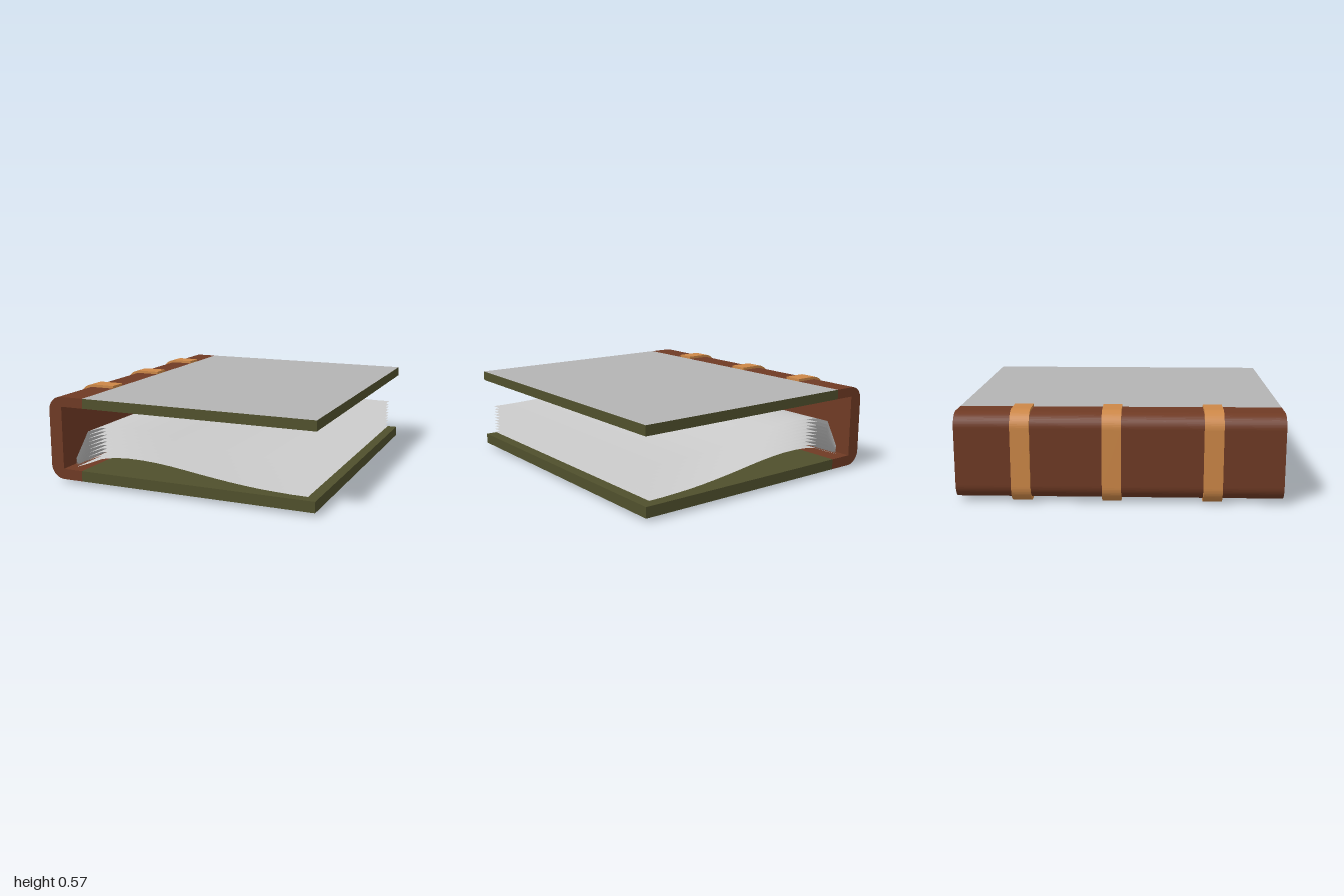
import * as THREE from 'three';

const mat = (name, color, side = THREE.FrontSide) => {
  const m = new THREE.MeshStandardMaterial({ color, side });
  m.name = name;
  return m;
};

// Inner end of the leather: runs slightly askew, mirrored between top and bottom
const END = -0.64;
const edgeX = (y, z) => -0.644 + (y > 0.29 ? 0.011 : -0.011) * z;
function skew(geo, isEnd) {
  const p = geo.attributes.position;
  for (let i = 0; i < p.count; i++) {
    if (isEnd(p.getX(i))) p.setX(i, edgeX(p.getY(i), p.getZ(i)));
  }
  geo.computeVertexNormals();
  return geo;
}

// C-shaped strip wrapped round the back: outer wall rounded by r, inner wall by ri
function wrap(outer, inner, z, width) {
  const s = new THREE.Shape();
  const { x, y0, y1, r } = outer;
  s.moveTo(END, y1);
  s.lineTo(x + r, y1);
  s.absarc(x + r, y1 - r, r, Math.PI / 2, Math.PI, false);
  s.absarc(x + r, y0 + r, r, Math.PI, Math.PI * 1.5, false);
  s.lineTo(END, y0);
  s.lineTo(END, inner.y0);
  if (inner.r) {
    s.absarc(inner.x + inner.r, inner.y0 + inner.r, inner.r, Math.PI * 1.5, Math.PI, true);
    s.absarc(inner.x + inner.r, inner.y1 - inner.r, inner.r, Math.PI, Math.PI / 2, true);
  } else {
    s.lineTo(inner.x, inner.y0);
    s.lineTo(inner.x, inner.y1);
  }
  s.lineTo(END, inner.y1);
  const geo = new THREE.ExtrudeGeometry(s, { depth: width, bevelEnabled: false, curveSegments: 8 });
  geo.translate(0, 0, z - width / 2);
  return skew(geo, (px) => px > END - 0.001);
}

export function createModel() {
  const book = new THREE.Group();
  book.name = 'book';
  const leather = mat('brown leather', 0x6f3a24);
  const strap = mat('tan leather', 0xcc8747);
  const board = mat('olive board', 0x50502c);
  const face = mat('grey cover face', 0xb4b4b4);
  const paper = mat('paper', 0xcccccc, THREE.DoubleSide);

  const add = (name, geo, material) => {
    const m = new THREE.Mesh(geo, material);
    m.name = name;
    book.add(m);
  };

  // Spine
  const outer = { x: -0.88, y0: 0.022, y1: 0.558, r: 0.09 };
  add('spine', wrap(outer, { x: -0.79, y0: 0.09, y1: 0.495, r: 0 }, 0, 2), leather);

  // Raised bands
  const bandOuter = { x: -0.897, y0: 0, y1: 0.575, r: 0.107 };
  [0.57, -0.045, -0.597].forEach((z, i) =>
    add('spineBand' + (i + 1), wrap(bandOuter, outer, z, 0.117), strap));

  // Cover boards, the upper one with a grey outer face
  const cover = (name, y0, y1, top) => {
    const geo = new THREE.BoxGeometry(0.893 - END, y1 - y0, 2);
    geo.translate((0.893 + END) / 2, (y0 + y1) / 2, 0);
    skew(geo, (px) => px < 0);
    add(name, geo, [board, board, top, board, board, board]);
  };
  cover('frontCover', 0.495, 0.558, face);
  cover('backCover', 0.022, 0.09, board);

  // Curved sheets, blended between the highest and lowest profile
  const high = [0.155, 0.345, 0.376, 0.389, 0.393, 0.389, 0.379, 0.365, 0.35,
    0.337, 0.325, 0.315, 0.307, 0.302, 0.299, 0.297, 0.297];
  const low = [0.103, 0.137, 0.177, 0.194, 0.2, 0.199, 0.193, 0.183, 0.17,
    0.156, 0.143, 0.131, 0.121, 0.113, 0.108, 0.104, 0.103];
  const sheets = 10;
  for (let k = 0; k < sheets; k++) {
    const geo = new THREE.PlaneGeometry(1.555, 1.926, 16, 1);
    geo.rotateX(-Math.PI / 2);
    geo.translate(0.0625, 0, 0.007);
    const p = geo.attributes.position;
    for (let i = 0; i < p.count; i++) {
      p.setY(i, THREE.MathUtils.lerp(low[i % 17], high[i % 17], k / (sheets - 1)));
    }
    geo.computeVertexNormals();
    add('page' + (k + 1), geo, paper);
  }
  return book;
}
